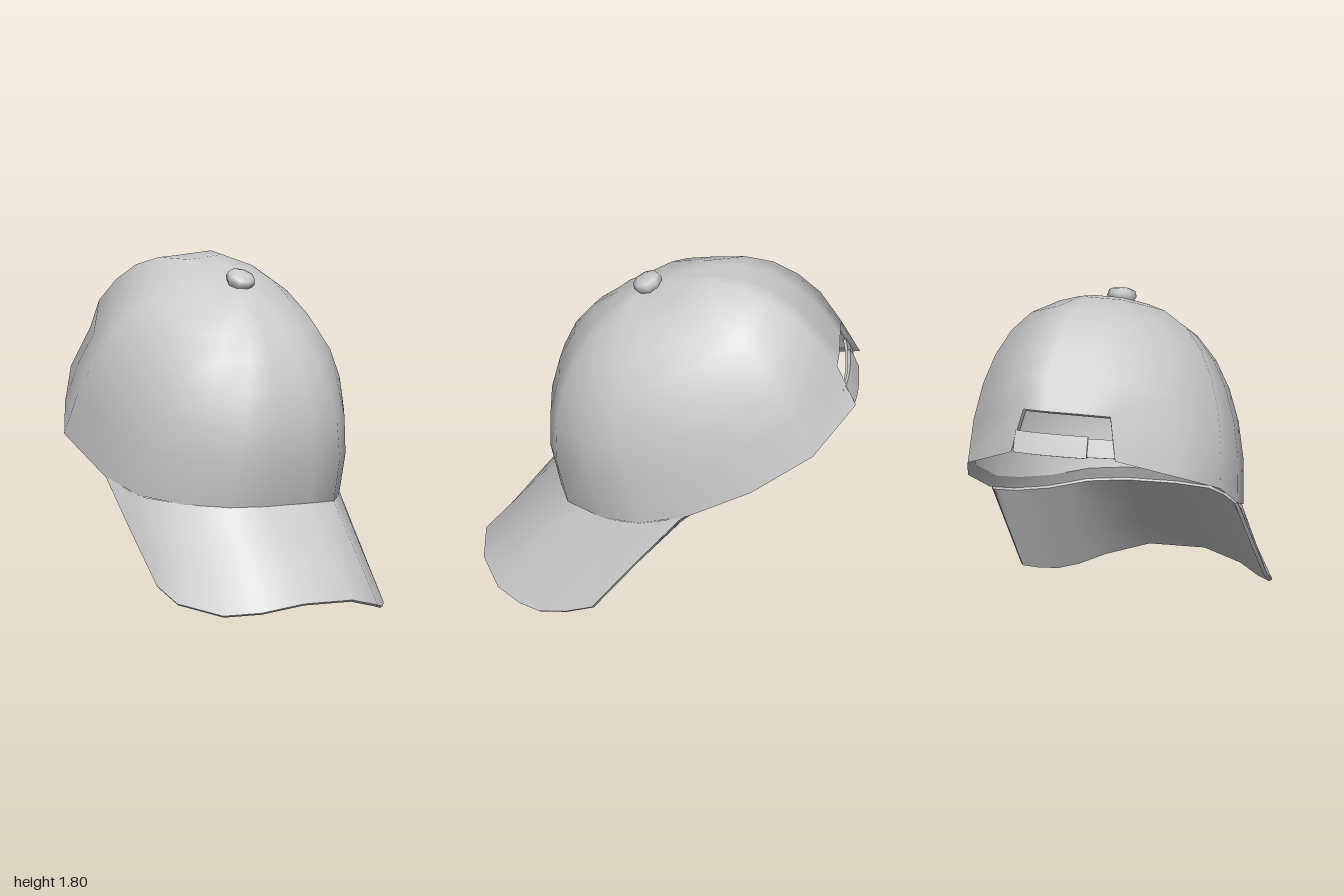
import * as THREE from 'three';

const V = (p) => new THREE.Vector3(...p);
const material = new THREE.MeshStandardMaterial({ color: 0xcccccc, side: THREE.DoubleSide });
const CENTRE = V([0.0, 0.86, -0.2]);
const APEX = V([0.01, 1.705, 0.12]);
const AXIS = APEX.clone().sub(CENTRE);
const rad = THREE.MathUtils.degToRad;

// Point on the dome: from a rim point (0 degrees) up to the apex (90 degrees)
function domePoint(rim, degrees, scale = 1) {
  const r = rim.clone().sub(CENTRE);
  const front = Math.min(1, 1.25 * Math.max(0, r.z / r.length()) ** 3);
  const power = 0.63 - 0.1 * Math.max(0, r.x) + 0.45 * front; // fuller at the sides and back
  const c = Math.max(0, Math.cos(rad(degrees))) ** power;
  return r.multiplyScalar(c).addScaledVector(AXIS, Math.sin(rad(degrees)))
    .multiplyScalar(scale).add(CENTRE);
}

// Closed shell from two matching point layers, with walls along every open edge
function shell(name, outer, inner, faces) {
  const n = outer.length;
  const points = [...outer, ...inner, ...outer, ...inner];
  const index = [];
  const edges = new Map();
  for (const f of faces) {
    for (let k = 1; k < f.length - 1; k++) {
      index.push(f[0], f[k], f[k + 1], n + f[0], n + f[k + 1], n + f[k]);
    }
    f.forEach((a, k) => {
      const b = f[(k + 1) % f.length];
      if (!edges.delete(`${b},${a}`)) edges.set(`${a},${b}`, [a, b]);
    });
  }
  for (const [a, b] of edges.values()) {
    const [oa, ob, ia, ib] = [a + 2 * n, b + 2 * n, a + 3 * n, b + 3 * n];
    index.push(ob, oa, ia, ob, ia, ib);
  }
  const geometry = new THREE.BufferGeometry().setFromPoints(points);
  geometry.setIndex(index);
  geometry.computeVertexNormals();
  const mesh = new THREE.Mesh(geometry, material);
  mesh.name = name;
  return mesh;
}

// Quads of an open grid with the given numbers of columns and rows
function gridFaces(cols, rows) {
  const faces = [];
  for (let j = 0; j < rows - 1; j++) {
    for (let i = 0; i < cols - 1; i++) {
      const a = j * cols + i;
      faces.push([a, a + 1, a + cols + 1, a + cols]);
    }
  }
  return faces;
}

// Crown: meridians rising from an uneven rim, with a notch at the back
function makeCrown() {
  const rim = [
    [0.1, 0.565, 0.595], [0.3, 0.555, 0.56], [0.48, 0.555, 0.38], [0.61, 0.59, 0.19],
    [0.68, 0.67, -0.07], [0.72, 0.83, -0.4], [0.64, 1.0, -0.73], [0.35, 1.15, -0.965],
    [0.2, 1.15, -0.98], [-0.05, 1.15, -0.99], [-0.23, 1.15, -1.0],
    [-0.48, 1.01, -0.74], [-0.68, 0.885, -0.5], [-0.69, 0.7, -0.15], [-0.66, 0.62, 0.1],
    [-0.54, 0.585, 0.33], [-0.38, 0.575, 0.52], [-0.18, 0.57, 0.58],
  ].map(V);
  const angles = [0, 15, 28, 40, 52, 64, 77, 84];
  const n = rim.length;
  const inNotch = (i) => i >= 7 && i <= 10;
  // the first row sets the rim: its angle and scale shape the bevelled hem
  const layer = (rimAngle, rimScale, scale) => [
    ...angles.flatMap((a, j) => rim.map((r, i) => {
      const p = j === 0 ? domePoint(r, rimAngle, rimScale) : domePoint(r, a, scale);
      if (j === 1 && inNotch(i)) p.x = 0.06 + (p.x - 0.06) * 0.85; // notch narrows upward
      return p;
    })),
    domePoint(rim[0], 90, scale),
  ];
  const faces = [];
  for (let j = 0; j < angles.length; j++) {
    for (let i = 0; i < n; i++) {
      const k = (i + 1) % n;
      if (j === 0 && inNotch(i) && inNotch(k)) continue;
      if (j === angles.length - 1) faces.push([j * n + i, j * n + k, n * angles.length]);
      else faces.push([j * n + i, j * n + k, (j + 1) * n + k, (j + 1) * n + i]);
    }
  }
  return shell('crown', layer(0, 1, 1), layer(3.5, 0.95, 0.968), faces);
}

// Bill: a curved sheet between its free edge and the front of the rim
function makeBill() {
  const pairs = [ // [free edge, attachment]
    [[-0.69, 0.7, -0.15], [-0.68, 0.7, -0.15]],
    [[-0.71, 0.43, 0.09], [-0.67, 0.64, 0.03]],
    [[-0.73, 0.16, 0.34], [-0.64, 0.61, 0.14]],
    [[-0.72, 0.08, 0.5], [-0.58, 0.595, 0.25]],
    [[-0.6, 0.03, 0.74], [-0.49, 0.583, 0.4]],
    [[-0.46, 0.05, 0.89], [-0.38, 0.575, 0.52]],
    [[-0.24, 0.09, 0.98], [-0.18, 0.57, 0.58]],
    [[0.07, 0.085, 1.0], [0.1, 0.565, 0.595]],
    [[0.3, 0.03, 0.93], [0.3, 0.555, 0.56]],
    [[0.42, 0.0, 0.82], [0.39, 0.555, 0.47]],
    [[0.51, 0.0, 0.72], [0.48, 0.555, 0.38]],
    [[0.59, 0.04, 0.58], [0.55, 0.573, 0.285]],
    [[0.635, 0.09, 0.44], [0.61, 0.59, 0.19]],
    [[0.66, 0.37, 0.21], [0.65, 0.63, 0.06]],
    [[0.68, 0.645, -0.03], [0.67, 0.67, -0.07]],
  ];
  const rows = [0, 0.33, 0.67, 1];
  const top = rows.flatMap((t) => pairs.map(([edge, join]) => {
    const p = V(edge).lerp(V(join), t);
    p.y += 0.01 * (1 - t);
    return p;
  }));
  const bottom = top.map((p) => new THREE.Vector3(p.x * 0.98, p.y - 0.01, p.z - 0.01));
  return shell('bill', top, bottom, gridFaces(pairs.length, rows.length));
}

// Strap piece crossing the notch, between two positions along the back rim
function makeStrap(name, from, to, low, high, scale) {
  const back = new THREE.CatmullRomCurve3(
    [[0.36, 1.15, -0.955], [0.2, 1.15, -0.98], [-0.05, 1.15, -0.99], [-0.24, 1.15, -0.98]].map(V));
  const cols = 8;
  const angles = [low, (low + high) / 2, high];
  const layer = (s) => angles.flatMap((a) => Array.from({ length: cols }, (_, i) =>
    domePoint(back.getPoint(from + (to - from) * i / (cols - 1)), a, s)));
  return shell(name, layer(scale), layer(scale - 0.02), gridFaces(cols, angles.length));
}

// Button at the apex
function makeButton() {
  const profile = [[0, -0.04], [0.06, -0.04], [0.08, 0], [0.072, 0.03], [0.04, 0.042], [0, 0.044]];
  const geometry = new THREE.LatheGeometry(profile.map((p) => new THREE.Vector2(...p)), 8);
  const button = new THREE.Mesh(geometry, material);
  button.name = 'button';
  button.position.set(0.01, 1.715, 0.13);
  button.rotation.x = rad(25);
  return button;
}

export function createModel() {
  const cap = new THREE.Group();
  cap.name = 'cap';
  cap.add(
    makeCrown(),
    makeBill(),
    makeStrap('backStrap', 0, 1, 0.5, 7, 0.98),
    makeStrap('strapOverlap', 0.05, 0.7, 0, 7.5, 1),
    makeButton(),
  );
  return cap;
}
